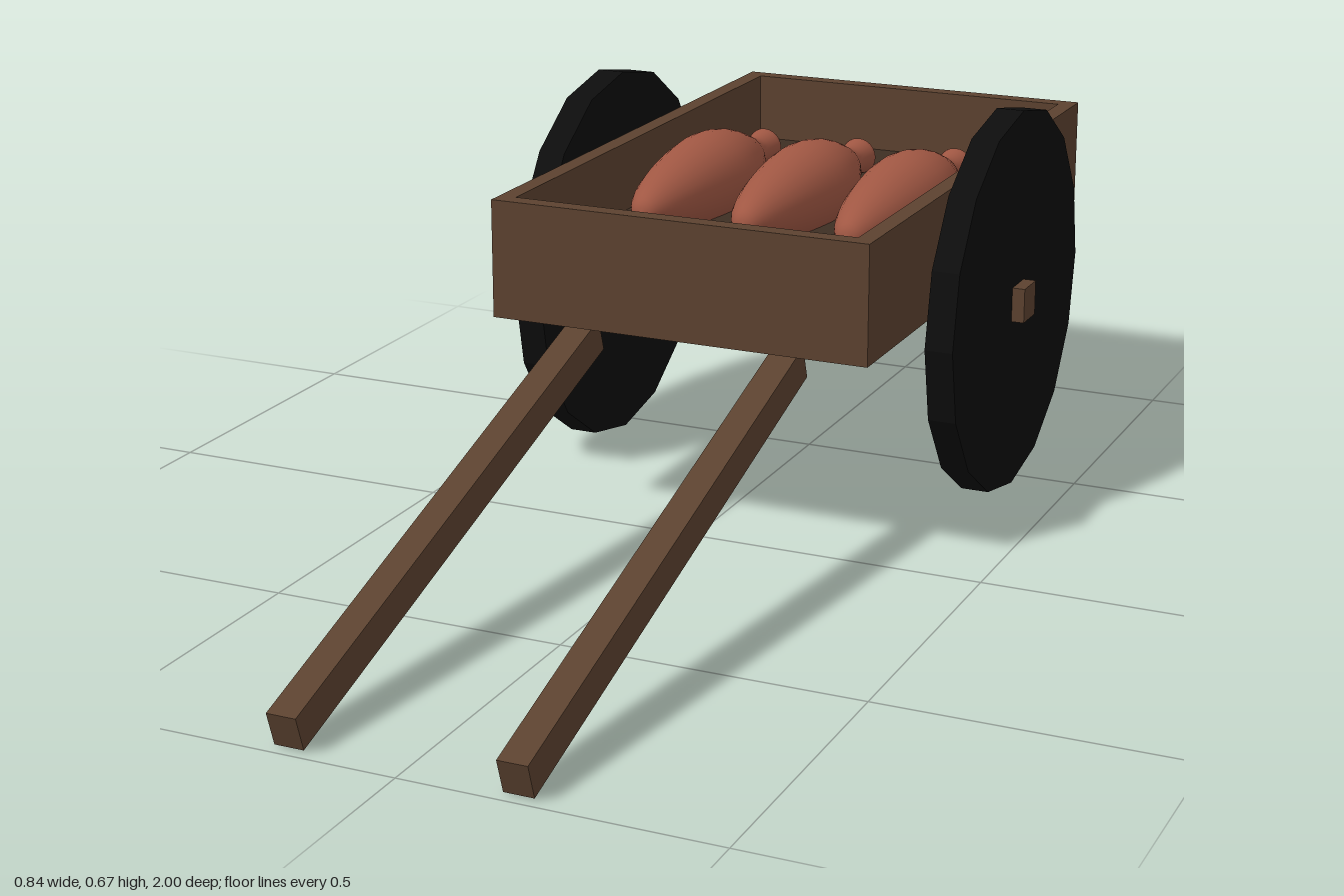
import * as THREE from 'three';

const material = (color, flatShading = true) => {
  const m = new THREE.MeshStandardMaterial({ flatShading });
  m.color.set(color);
  return m;
};

export function createModel() {
  const cart = new THREE.Group();
  cart.name = 'handCart';
  const wood = material(0x5c4230);
  const darkWood = material(0x3d2e23);
  const black = material(0x0d0d0d);
  const clay = material(0xa05743, false);

  const add = (name, geometry, mat, x, y, z) => {
    const mesh = new THREE.Mesh(geometry, mat);
    mesh.name = name;
    mesh.position.set(x, y, z);
    cart.add(mesh);
    return mesh;
  };

  // Open tray: a rectangular frame extruded upwards
  const W = 0.33, L = 0.54, T = 0.03, trayZ = -0.46;
  const rect = (Kind, w, l) => new Kind([[-w, -l], [w, -l], [w, l], [-w, l]]
    .map(([x, y]) => new THREE.Vector2(x, y)));
  const frame = rect(THREE.Shape, W, L);
  frame.holes.push(rect(THREE.Path, W - T, L - T));
  const walls = new THREE.ExtrudeGeometry(frame, { depth: 0.2, bevelEnabled: false });
  walls.rotateX(-Math.PI / 2);
  add('trayWalls', walls, wood, 0, 0.362, trayZ);

  // Tray floor: wooden underside, darker boards on top
  const inner = [2 * (W - T), 2 * (L - T)];
  add('trayFloor', new THREE.BoxGeometry(inner[0], 0.078, inner[1]),
    [wood, wood, darkWood, wood, wood, wood], 0, 0.401, trayZ);

  // Square axle
  add('axle', new THREE.BoxGeometry(0.84, 0.06, 0.06), wood, 0, 0.333, trayZ);

  // Solid disc wheels and sloping shafts, mirrored
  const wheel = new THREE.CylinderGeometry(0.333, 0.333, 0.048, 16);
  wheel.rotateZ(Math.PI / 2);
  const rise = 0.31, run = 0.96;
  const shaft = new THREE.BoxGeometry(0.048, 0.058, Math.hypot(rise, run));
  shaft.rotateX(Math.atan2(rise, run));
  for (const [side, s] of [['left', 1], ['right', -1]]) {
    add(side + 'Wheel', wheel, black, s * 0.374, 0.333, trayZ);
    add(side + 'Shaft', shaft, wood, s * 0.181, 0.185, 0.51);
  }

  // Clay jars lying on their sides, mouths towards the back
  const outline = new THREE.SplineCurve([
    [0, -0.19], [0.022, -0.2], [0.044, -0.245], [0.066, -0.34], [0.08, -0.46],
    [0.073, -0.54], [0.05, -0.61], [0.03, -0.66], [0.027, -0.69], [0.033, -0.725],
  ].map(([r, z]) => new THREE.Vector2(r, -z)));
  const profile = outline.getPoints(36);
  profile.push(new THREE.Vector2(0.028, 0.735), new THREE.Vector2(0, 0.735));
  const jar = new THREE.LatheGeometry(profile, 24);
  jar.rotateX(-Math.PI / 2);
  [-1, 0, 1].forEach((i) => add('jar' + (i + 2), jar, clay, i * 0.187, 0.488, 0));

  return cart;
}
